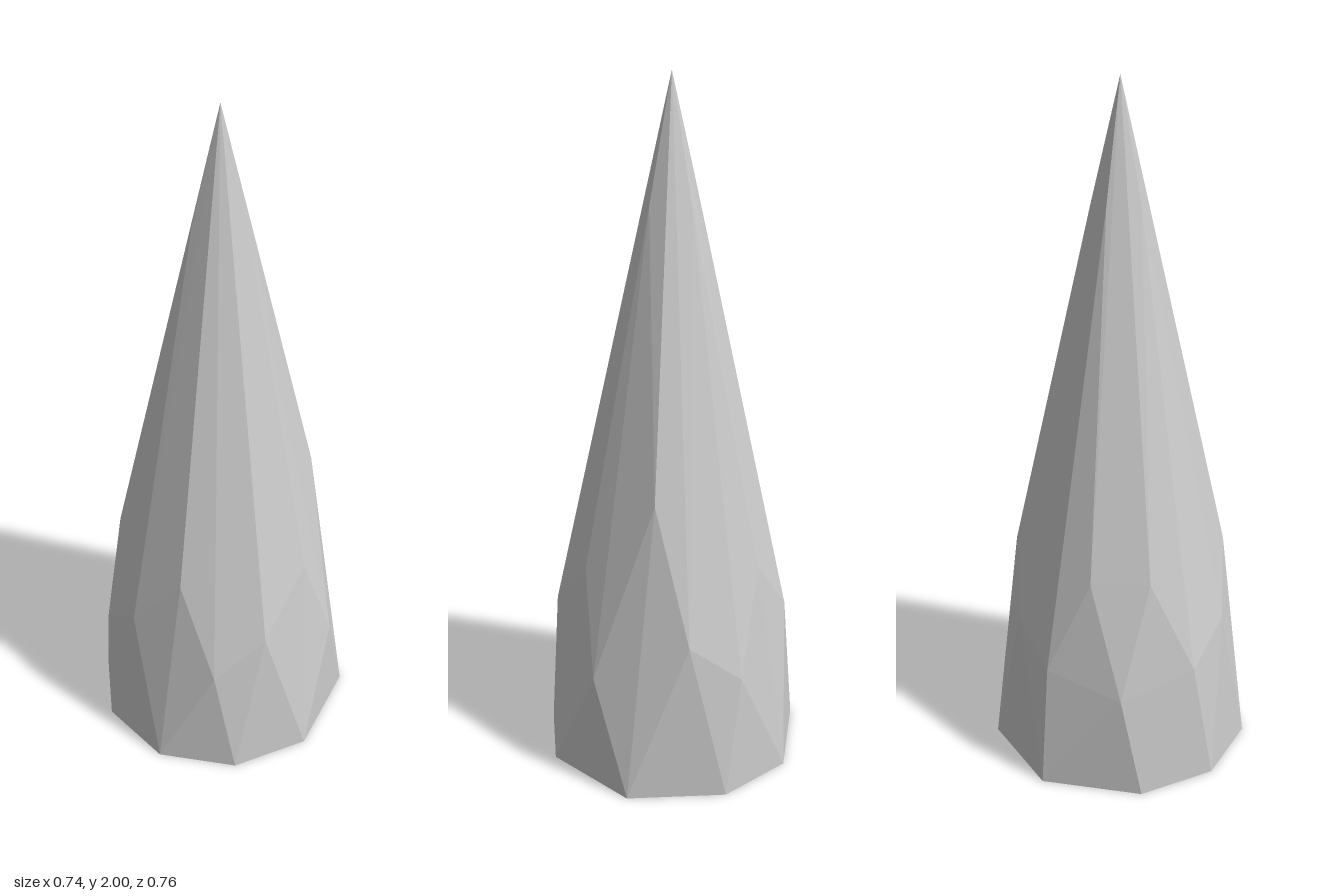
import * as THREE from 'three';
import { ConvexGeometry } from 'three/addons/geometries/ConvexGeometry.js';

// Faceted spike: the convex skin over rings of cut corners, closed by a flat base.
export function createModel() {
  const group = new THREE.Group();
  group.name = 'spike';

  // nine-sided foot, [x, z]
  const base = [
    [-0.055, -0.38], [0.177, -0.34], [0.37, -0.13], [0.345, 0.172], [0.177, 0.338],
    [-0.055, 0.378], [-0.265, 0.27], [-0.371, 0.06], [-0.31, -0.23],
  ].map(([x, z]) => [x, 0, z]);

  // facet corners around the lower body, [x, y, z]
  const body = [
    [0.11, 0.35, -0.34], [0.235, 0.47, -0.25], [0.238, 0.87, -0.13],
    [0.359, 0.34, 0], [0.293, 0.64, 0.08], [0.235, 0.47, 0.248], [0.11, 0.35, 0.338],
    [-0.006, 0.65, 0.303], [-0.16, 0.47, 0.295], [-0.284, 0.37, 0.21],
    [-0.288, 0.65, 0.083], [-0.358, 0.31, 0], [-0.288, 0.65, -0.084],
    [-0.285, 0.37, -0.21], [-0.16, 0.47, -0.295], [-0.006, 0.65, -0.305],
  ];

  // small cuts just below the point, then the point itself
  const tip = [
    [0.016, 1.65, -0.081], [0.085, 1.65, 0.011],
    [-0.056, 1.67, 0.056], [-0.067, 1.67, -0.037],
    [0.002, 2, 0],
  ];

  const points = [...base, ...body, ...tip].map((p) => new THREE.Vector3(...p));
  const mesh = new THREE.Mesh(
    new ConvexGeometry(points),
    new THREE.MeshStandardMaterial({ color: 0xcccccc, flatShading: true }),
  );
  mesh.name = 'facetedCone';
  group.add(mesh);
  return group;
}
